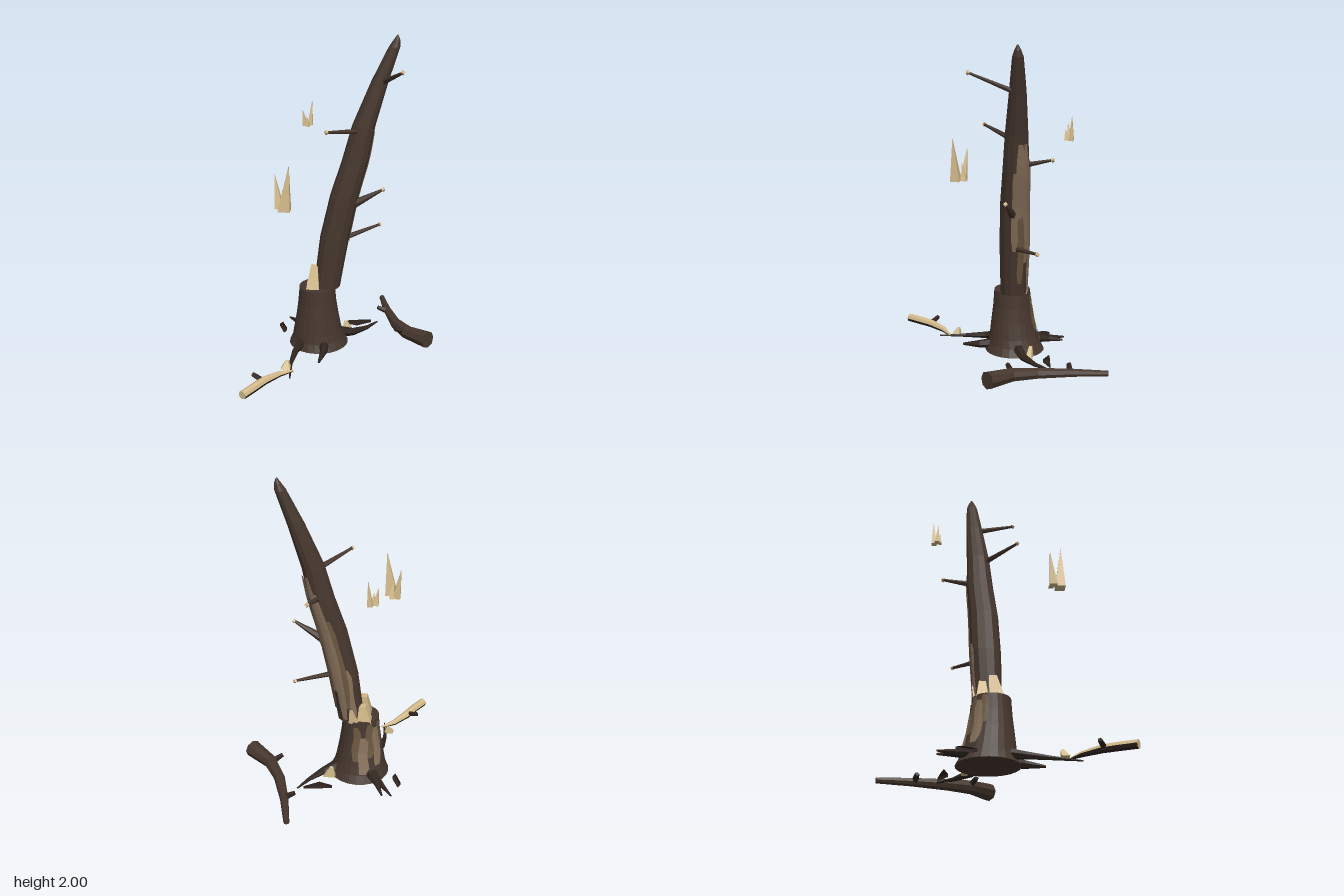
import * as THREE from 'three';

const V = (x, y, z) => new THREE.Vector3(x, y, z);
const mat = (name, color, side = THREE.FrontSide) => {
  const m = new THREE.MeshStandardMaterial({ color, side });
  m.name = name;
  return m;
};

// Skins rings of points; sideMat(j, i) picks the material index, capMat that of both ends.
function loft(rings, { sideMat = () => 0, capMat = 0 } = {}) {
  const faces = [[], [], []];
  const n = rings[0].length;
  for (let i = 0; i < rings.length - 1; i++) {
    for (let j = 0; j < n; j++) {
      const k = (j + 1) % n;
      const [a, b, c, d] = [rings[i][j], rings[i + 1][j], rings[i + 1][k], rings[i][k]];
      faces[sideMat(j, i)].push(a, b, c, a, c, d);
    }
  }
  const mid = r => r.reduce((s, p) => s.add(p), V(0, 0, 0)).divideScalar(n);
  const first = rings[0], last = rings[rings.length - 1];
  const c0 = mid(first), c1 = mid(last);
  for (let j = 0; j < n; j++) {
    const k = (j + 1) % n;
    faces[capMat].push(c0, first[j], first[k], c1, last[k], last[j]);
  }
  const g = new THREE.BufferGeometry().setFromPoints(faces.flat());
  let start = 0;
  faces.forEach((f, i) => {
    if (f.length) g.addGroup(start, f.length, i);
    start += f.length;
  });
  g.computeVertexNormals();
  return g;
}

// Tapered limb along points [x, y, z, radius].
function limb(pts, sides = 6, options) {
  const p = pts.map(q => V(q[0], q[1], q[2]));
  return loft(p.map((c, i) => {
    const t = p[Math.min(i + 1, p.length - 1)].clone().sub(p[Math.max(i - 1, 0)]).normalize();
    const u = V(0, 1, 0).cross(t).normalize();
    const v = u.clone().cross(t);
    return Array.from({ length: sides }, (_, j) => {
      const a = (j / sides) * Math.PI * 2;
      return c.clone().addScaledVector(u, Math.cos(a) * pts[i][3]).addScaledVector(v, Math.sin(a) * pts[i][3]);
    });
  }), options);
}

// Point on an upright form given by rows [y, centre x, centre z, radius].
function onSurface(rows, y, a, off = 0) {
  let i = 0;
  while (i < rows.length - 2 && y > rows[i + 1][0]) i++;
  const t = (y - rows[i][0]) / (rows[i + 1][0] - rows[i][0]);
  const [cx, cz, r] = [1, 2, 3].map(k => THREE.MathUtils.lerp(rows[i][k], rows[i + 1][k], t));
  return V(cx + Math.cos(a) * (r + off), y, cz + Math.sin(a) * (r + off));
}

const upright = (rows, sides) => loft(rows.map(r =>
  Array.from({ length: sides }, (_, j) => onSurface(rows, r[0], (j / sides) * Math.PI * 2))));

// Ragged strip lying on an upright form; angles in degrees.
function strip(rows, a0, a1, y0, y1, off) {
  const rad = Math.PI / 180, w = a1 - a0, pts = [], steps = 7;
  const row = s => {
    const y = y0 + (y1 - y0) * s;
    const shrink = s < 0.12 || s > 0.88 ? 0.3 : 0;
    const skew = Math.sin(s * 9 + a0) * 2;
    return [a0 + w * shrink + skew, (a0 + a1) / 2, a1 - w * shrink * 0.4 + skew]
      .map(a => onSurface(rows, y, a * rad, off));
  };
  for (let i = 0; i < steps; i++) {
    const lo = row(i / steps), hi = row((i + 1) / steps);
    for (let j = 0; j < 2; j++) pts.push(lo[j], hi[j], hi[j + 1], lo[j], hi[j + 1], lo[j + 1]);
  }
  const g = new THREE.BufferGeometry().setFromPoints(pts);
  g.computeVertexNormals();
  return g;
}

// Four-sided splinter from a square base to a shifted, small top.
function splinter(x, y, z, w, d, tx, ty, tz, tw) {
  const square = (cx, cy, cz, hw, hd) =>
    [[1, -1], [1, 1], [-1, 1], [-1, -1]].map(([a, b]) => V(cx + a * hw, cy, cz + b * hd));
  return loft([square(x, y, z, w / 2, d / 2), square(tx, ty, tz, tw / 2, tw / 2)]);
}

// Flat ground shard through outline points [x, z].
function shard(outline, y, h) {
  const ring = yy => outline.map(([x, z]) => V(x, yy, z));
  return loft([ring(y), ring(y + h)]);
}

export function createModel() {
  const bark = mat('bark', 0x46372e);
  const darkBark = mat('dark bark', 0x30251f);
  const paleWood = mat('pale wood', 0xd4bb8b);
  const wood = mat('weathered wood', 0x86705a, THREE.DoubleSide);
  const dullWood = mat('dull wood', 0x6a573f, THREE.DoubleSide);

  const model = new THREE.Group();
  const add = (name, geometry, material) => {
    const m = new THREE.Mesh(geometry, material);
    m.name = name;
    model.add(m);
  };

  // Flared stump and leaning broken trunk
  const stump = [[0, -0.195, -0.083, 0.188], [0.05, -0.197, -0.08, 0.165], [0.1, -0.2, -0.075, 0.153],
    [0.2, -0.2, -0.068, 0.135], [0.3, -0.2, -0.066, 0.121], [0.4, -0.2, -0.065, 0.113]];
  const trunk = [[0.395, -0.14, -0.085, 0.083], [0.56, -0.116, -0.09, 0.087], [0.73, -0.09, -0.097, 0.092],
    [1.0, -0.032, -0.108, 0.088], [1.23, 0.035, -0.13, 0.082], [1.45, 0.085, -0.142, 0.071],
    [1.72, 0.178, -0.165, 0.052], [1.93, 0.262, -0.18, 0.034], [1.97, 0.275, -0.182, 0.02], [2.0, 0.28, -0.182, 0.004]];
  add('stump', upright(stump, 24), bark);
  add('trunk', upright(trunk, 12), bark);

  // Bare wood where bark is torn off: [angle, angle, bottom, top]
  [[-128, -104, 0.42, 0.78], [-112, -88, 0.5, 1.12], [-94, -66, 0.42, 1.3], [-72, -44, 0.62, 1.4],
    [-50, -24, 0.48, 0.95], [-48, -14, 0.92, 1.4], [-26, 0, 0.7, 1.22]].forEach(([a, b, lo, hi], i) =>
    add('trunkBareStrip', strip(trunk, a, b, lo, hi, 0.004 + (i % 3) * 0.002), i % 3 === 1 ? dullWood : wood));
  [[-170, -152, 0.22, 0.39], [-156, -132, 0.1, 0.36], [-136, -112, 0.16, 0.39], [-116, -92, 0.06, 0.3],
    [-96, -74, 0.14, 0.37]].forEach(([a, b, lo, hi], i) =>
    add('stumpBareStrip', strip(stump, a, b, lo, hi, 0.004 + (i % 2) * 0.002), i % 2 ? wood : dullWood));

  // Splintered core at the break
  [[-0.222, 0.39, -0.035, 0.085, 0.09, -0.215, 0.537, -0.06, 0.045],
    [-0.23, 0.39, -0.12, 0.09, 0.07, -0.215, 0.5, -0.12, 0.04],
    [-0.165, 0.39, -0.15, 0.06, 0.04, -0.15, 0.49, -0.165, 0.02]].forEach(s => add('coreSplinter', splinter(...s), paleWood));

  // Dead branches with pale snapped ends: start, end, start radius
  [[[0.2, 1.72, -0.15], [0.33, 1.84, 0.09], 0.018], [[0.07, 1.415, -0.12], [-0.112, 1.468, 0.092], 0.018],
    [[0, 0.93, -0.11], [0.205, 1.05, -0.1], 0.032], [[-0.05, 0.712, -0.1], [0.172, 0.745, -0.285], 0.018],
    [[0.04, 1.25, -0.15], [0.085, 1.304, -0.355], 0.02]].forEach(([a, b, r]) => {
    const end = V(...b), tip = end.clone().sub(V(...a)).setLength(0.014).add(end);
    add('deadBranch', limb([[...a, r], [...b, 0.008]], 6), bark);
    add('branchEnd', limb([[...b, 0.016], [...tip.toArray(), 0.012]], 4), paleWood);
  });

  // Roots
  [[[-0.28, 0.05, 0.02, 0.035], [-0.315, 0.03, 0.13, 0.022], [-0.325, 0.014, 0.27, 0.012], [-0.305, 0.008, 0.44, 0.004]],
    [[-0.15, 0.045, 0.03, 0.036], [-0.135, 0.035, 0.13, 0.025], [-0.152, 0.02, 0.245, 0.008]],
    [[-0.28, 0.05, -0.18, 0.036], [-0.35, 0.03, -0.27, 0.02], [-0.43, 0.012, -0.37, 0.005]],
    [[-0.27, 0.05, -0.2, 0.03], [-0.33, 0.03, -0.28, 0.02], [-0.37, 0.012, -0.37, 0.006]],
    [[-0.08, 0.05, -0.12, 0.04], [0.02, 0.025, -0.18, 0.024], [0.1, 0.014, -0.27, 0.013], [0.16, 0.01, -0.37, 0.005]]
  ].forEach(r => add('root', limb(r, 6), darkBark));

  // Fallen bough with two stubs
  add('fallenBough', limb([[0.165, 0.02, -0.725, 0.018], [0.215, 0.028, -0.52, 0.026], [0.285, 0.036, -0.31, 0.035],
    [0.37, 0.048, -0.165, 0.043], [0.51, 0.06, -0.05, 0.055]], 8), bark);
  [[[0.22, 0.03, -0.5], [0.155, 0.06, -0.485]], [[0.36, 0.05, -0.17], [0.295, 0.085, -0.13]]].forEach(([a, b]) =>
    add('boughStub', limb([[...a, 0.022], [...b, 0.014]], 5), darkBark));

  // Fallen pale branch, bark remaining underneath
  add('fallenPaleBranch', limb([[-0.295, 0.022, 0.372, 0.007], [-0.37, 0.026, 0.43, 0.018], [-0.445, 0.033, 0.53, 0.026],
    [-0.49, 0.033, 0.615, 0.027], [-0.545, 0.03, 0.71, 0.027]], 8, { sideMat: j => (j >= 4 ? 0 : 1) }), [paleWood, darkBark]);
  add('paleBranchStub', limb([[-0.45, 0.035, 0.54, 0.018], [-0.52, 0.058, 0.505, 0.014]], 5), darkBark);

  // Ground shards and chips
  add('barkShard', shard([[-0.055, -0.33], [0.03, -0.305], [0.12, -0.365], [0.03, -0.35]], 0.006, 0.02), darkBark);
  add('barkShard', shard([[-0.475, -0.24], [-0.435, -0.15], [-0.42, -0.185], [-0.46, -0.27]], 0.006, 0.02), darkBark);
  add('woodChip', splinter(-0.02, 0.01, -0.21, 0.075, 0.04, -0.035, 0.08, -0.215, 0.02), paleWood);
  add('woodChip', splinter(-0.345, 0.015, 0.335, 0.06, 0.05, -0.34, 0.06, 0.32, 0.015), paleWood);

  // Flying splinters
  [[-0.336, 1.055, 0.33, 0.072, 0.06, -0.304, 1.335, 0.342, 0.002],
    [-0.372, 1.055, 0.288, 0.05, 0.045, -0.4, 1.26, 0.268, 0.002],
    [-0.345, 1.055, 0.275, 0.035, 0.03, -0.352, 1.17, 0.295, 0.002],
    [-0.283, 1.355, -0.418, 0.032, 0.032, -0.271, 1.51, -0.424, 0.002],
    [-0.312, 1.355, -0.4, 0.034, 0.028, -0.327, 1.46, -0.392, 0.002],
    [-0.296, 1.355, -0.388, 0.028, 0.028, -0.3, 1.42, -0.38, 0.002]].forEach(s => add('flyingSplinter', splinter(...s), paleWood));

  return model;
}
